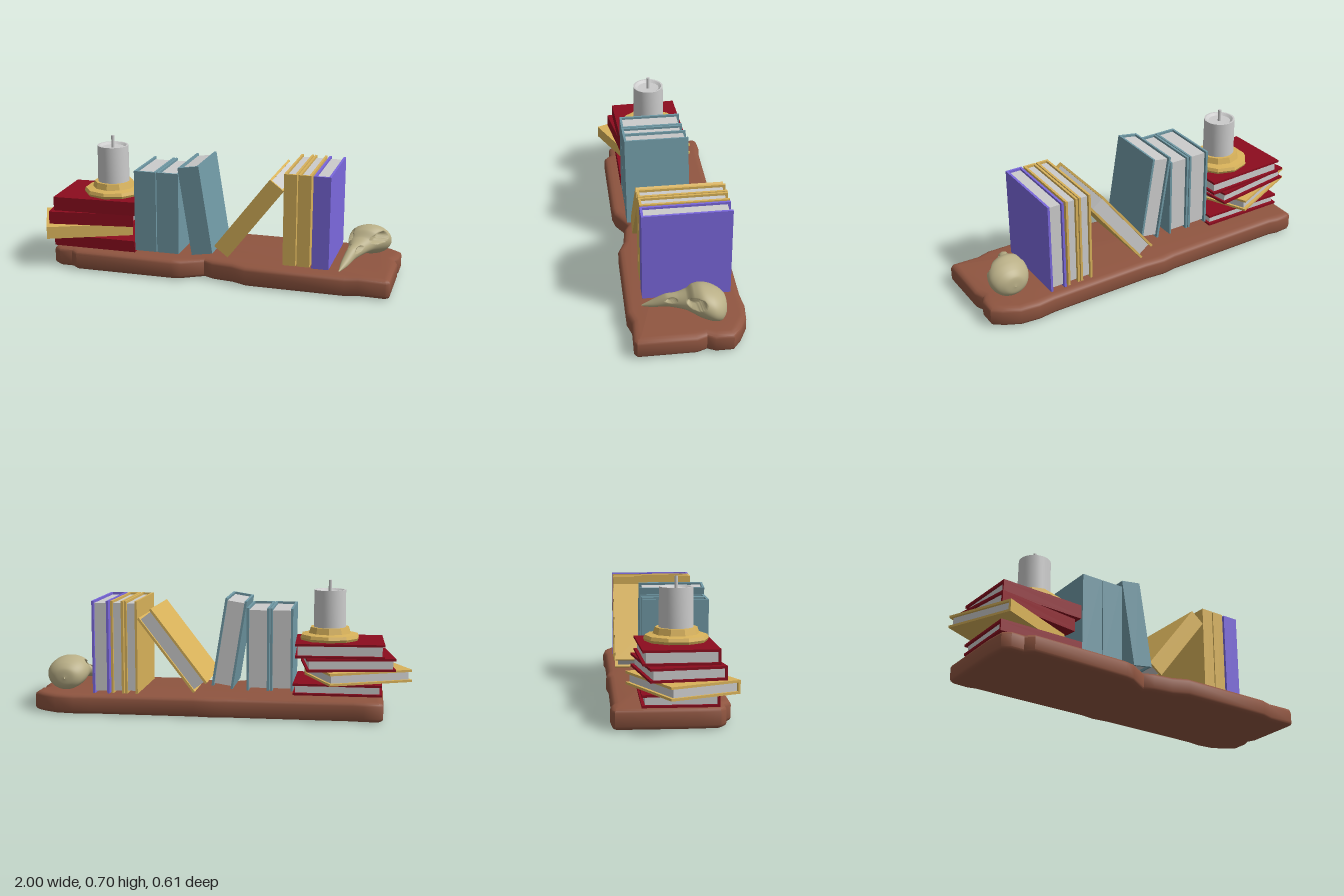
import * as THREE from 'three';
import { toCreasedNormals } from 'three/addons/utils/BufferGeometryUtils.js';

const mat = (color, extra = {}) => new THREE.MeshStandardMaterial({ color, ...extra });
const RED = mat(0x8c0c1e), YELLOW = mat(0xd8b25a), TEAL = mat(0x7099a5), PURPLE = mat(0x7b68dd);
const GREY = mat(0xcccccc), WOOD = mat(0x8f5540), BONE = mat(0xb8ae86, { side: THREE.DoubleSide });

function add(parent, name, geometry, material, x = 0, y = 0, z = 0) {
  const mesh = new THREE.Mesh(geometry, material);
  mesh.name = name;
  mesh.position.set(x, y, z);
  parent.add(mesh);
  return mesh;
}

// Upright book centred on its origin: thickness along x, spine on +z
function makeBook(name, t, h, d, material) {
  const book = new THREE.Group();
  book.name = name;
  const c = 0.012;
  for (const s of [-1, 1]) {
    add(book, 'cover', new THREE.BoxGeometry(c, h, d), material, s * (t - c) / 2, 0, 0);
  }
  add(book, 'spine', new THREE.BoxGeometry(t - 2 * c, h, c), material, 0, 0, (d - c) / 2);
  add(book, 'pages', new THREE.BoxGeometry(t - 2 * c, h - 0.025, d - c - 0.016), GREY, 0, 0, (0.016 - c) / 2);
  return book;
}

// Worn plank with chamfered edges and a notch in the front
function makeShelf(root) {
  const outline = [
    [-0.85, -0.29], [-0.83, -0.305], [-0.75, -0.31], [-0.7, -0.3], [-0.05, -0.3], [0.02, -0.31], [0.13, -0.3],
    [0.68, -0.3], [0.77, -0.31], [0.87, -0.3], [0.95, -0.26], [1, -0.22], [1, -0.13], [0.98, -0.09], [1, -0.04],
    [1, 0.25], [0.98, 0.265], [0.84, 0.26], [0.77, 0.28], [0.25, 0.275], [0.17, 0.24], [0.06, 0.225], [0.01, 0.2],
    [-0.1, 0.265], [-0.15, 0.275], [-0.69, 0.275], [-0.73, 0.24], [-0.8, 0.24], [-0.84, 0.21], [-0.85, 0.1],
  ];
  const shape = new THREE.Shape(outline.map(([x, z]) => new THREE.Vector2(x, -z)));
  const geo = new THREE.ExtrudeGeometry(shape, {
    depth: 0.063, bevelThickness: 0.022, bevelSize: 0.035, bevelOffset: -0.035, bevelSegments: 3,
  });
  geo.rotateX(-Math.PI / 2);
  add(root, 'shelf', toCreasedNormals(geo, 0.7), WOOD, 0, 0.022, 0);
}

function makeBooks(root) {
  // name, material, thickness, height, depth, x, y, z, lean
  const standing = [
    ['tealBook', TEAL, 0.12, 0.44, 0.335, -0.315, 0.34, 0.035, 0],
    ['tealBook', TEAL, 0.12, 0.44, 0.335, -0.19, 0.34, 0.035, 0],
    ['leaningTealBook', TEAL, 0.115, 0.475, 0.342, -0.037, 0.368, 0.036, 0.16],
    ['leaningYellowBook', YELLOW, 0.093, 0.485, 0.445, 0.247, 0.343, -0.035, -0.655],
    ['yellowBook', YELLOW, 0.068, 0.49, 0.445, 0.466, 0.355, -0.033, 0],
    ['yellowBook', YELLOW, 0.068, 0.49, 0.445, 0.54, 0.355, -0.033, 0],
    ['purpleBook', PURPLE, 0.09, 0.493, 0.447, 0.63, 0.353, -0.032, 0],
  ];
  for (const [name, m, t, h, d, x, y, z, lean] of standing) {
    const book = makeBook(name, t, h, d, m);
    book.position.set(x, y, z);
    book.rotation.z = lean;
    root.add(book);
  }
  // Lying books: name, material, thickness, x, y, z, turn
  const lying = [
    ['bottomRedBook', RED, 0.062, -0.61, 0.138, 0.02, 0],
    ['turnedYellowBook', YELLOW, 0.066, -0.71, 0.203, 0.035, 0.424],
    ['middleRedBook', RED, 0.068, -0.655, 0.271, 0.02, 0.15],
    ['topRedBook', RED, 0.075, -0.615, 0.344, 0.015, 0.04],
  ];
  for (const [name, m, t, x, y, z, turn] of lying) {
    const pile = new THREE.Group();
    pile.name = name;
    const book = makeBook('volume', t, 0.465, 0.37, m);
    book.rotation.z = Math.PI / 2;
    pile.add(book);
    pile.position.set(x, y, z);
    pile.rotation.y = turn;
    root.add(pile);
  }
}

function lathe(points, sides) {
  return new THREE.LatheGeometry(points.map(([r, y]) => new THREE.Vector2(r, y)), sides);
}

// Candle on a ten-sided holder
function makeCandle(root) {
  const candle = new THREE.Group();
  candle.name = 'candle';
  candle.position.set(-0.56, 0, 0.02);
  const holder = lathe([[0, 0.381], [0.155, 0.381], [0.162, 0.395], [0.155, 0.412], [0.115, 0.418],
    [0.105, 0.45], [0, 0.45]], 10);
  add(candle, 'holder', toCreasedNormals(holder, 0.3), YELLOW);
  const wax = lathe([[0, 0.44], [0.086, 0.44], [0.084, 0.648], [0.074, 0.648], [0.06, 0.637], [0, 0.634]], 32);
  add(candle, 'wax', toCreasedNormals(wax, 0.6), GREY);
  add(candle, 'wick', new THREE.CylinderGeometry(0.009, 0.009, 0.07, 12), GREY, 0, 0.665, 0);
  root.add(candle);
}

// Bird skull lofted from beak tip to back of the head, with sunken eyes and nostrils
function makeSkull(root) {
  // z, centre x, half width, bottom, top
  const sections = [
    [0.2, 0.733, 0.004, 0.108, 0.116], [0.15, 0.75, 0.02, 0.116, 0.153], [0.085, 0.773, 0.031, 0.135, 0.2],
    [0.03, 0.793, 0.046, 0.142, 0.216], [-0.01, 0.808, 0.066, 0.145, 0.235], [-0.04, 0.823, 0.086, 0.138, 0.268],
    [-0.08, 0.838, 0.103, 0.125, 0.283], [-0.13, 0.846, 0.108, 0.111, 0.272], [-0.17, 0.848, 0.09, 0.107, 0.25],
    [-0.195, 0.846, 0.055, 0.13, 0.222], [-0.203, 0.845, 0.003, 0.17, 0.178],
  ];
  const plan = new THREE.CatmullRomCurve3(sections.map(([z, x, w]) => new THREE.Vector3(z, x, w)));
  const side = new THREE.CatmullRomCurve3(sections.map((s) => new THREE.Vector3(s[3], s[4], 0)));
  // z, height, half length, half height, slope, depth
  const hollows = [[-0.05, 0.228, 0.042, 0.022, -0.35, 0.55], [0.062, 0.19, 0.026, 0.01, -0.4, 0.6]];
  const rows = 90, cols = 72, pos = [], index = [];
  for (let i = 0; i <= rows; i++) {
    const { x: z, y: cx, z: w } = plan.getPoint(i / rows);
    const { x: low, y: high } = side.getPoint(i / rows);
    for (let j = 0; j < cols; j++) {
      const a = (j / cols) * Math.PI * 2;
      const y = (low + high) / 2 + Math.sin(a) * (high - low) / 2;
      let k = 1;
      for (const [hz, hy, len, tall, slope, depth] of hollows) {
        const q = ((z - hz) / len) ** 2 + ((y - hy - slope * (z - hz)) / tall) ** 2;
        k -= depth * (1 - THREE.MathUtils.smoothstep(q, 0.5, 1.1));
      }
      pos.push(cx + Math.cos(a) * Math.max(w, 0.002) * k, y, z);
      if (i < rows) {
        const p = i * cols + j, n = i * cols + (j + 1) % cols;
        index.push(p, p + cols, n, n, p + cols, n + cols);
      }
    }
  }
  const geo = new THREE.BufferGeometry();
  geo.setAttribute('position', new THREE.Float32BufferAttribute(pos, 3));
  geo.setIndex(index.reverse());
  geo.computeVertexNormals();
  // Wind the faces outward
  const p = geo.attributes.position, nrm = geo.attributes.normal, mid = 45 * cols;
  if (nrm.getX(mid) * (p.getX(mid) - p.getX(mid + cols / 2)) < 0) {
    geo.setIndex(index.reverse());
    geo.computeVertexNormals();
  }
  add(root, 'birdSkull', geo, BONE);
}

export function createModel() {
  const root = new THREE.Group();
  root.name = 'bookshelf';
  makeShelf(root);
  makeBooks(root);
  makeCandle(root);
  makeSkull(root);
  return root;
}
